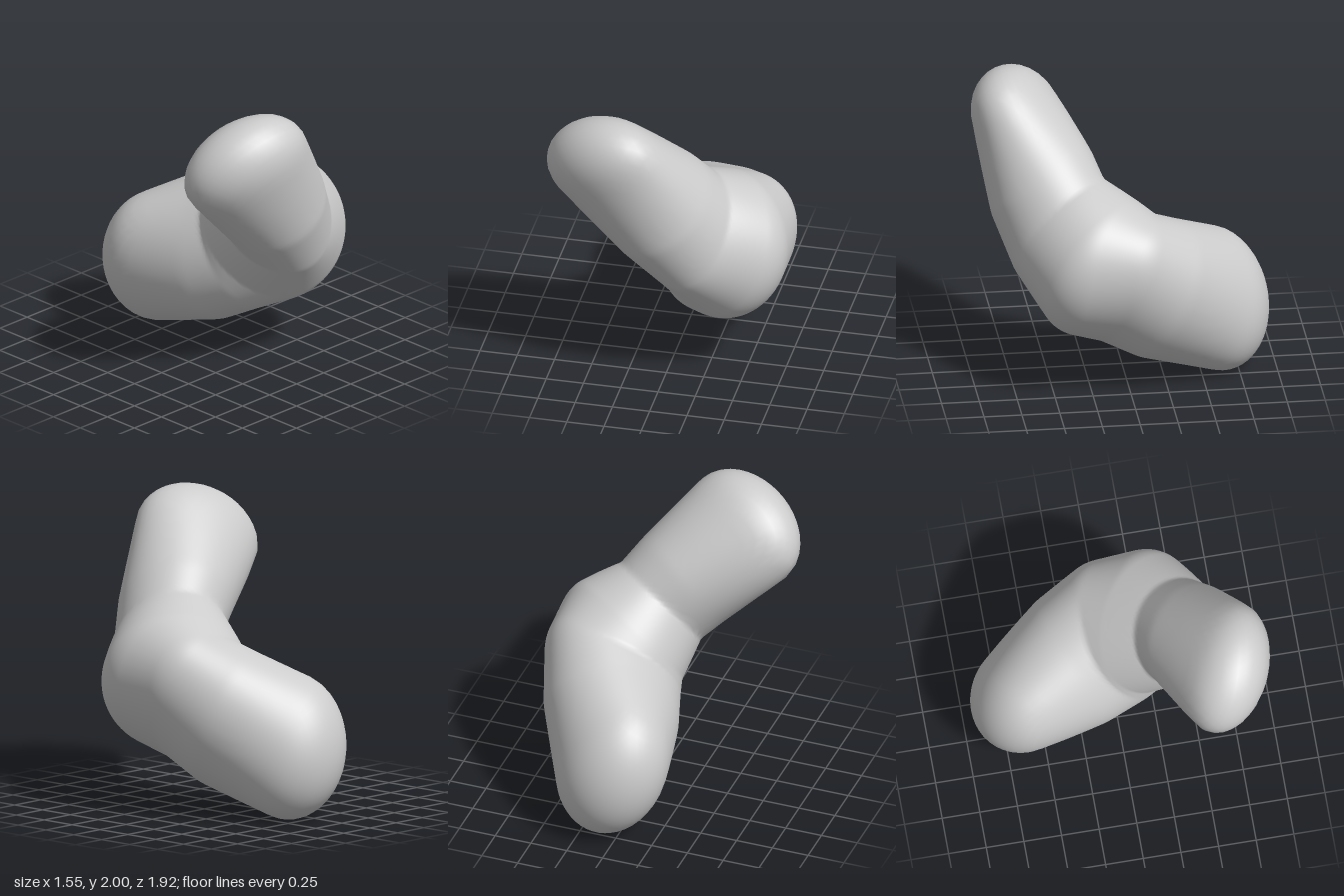
import * as THREE from 'three';
import { mergeVertices } from 'three/addons/utils/BufferGeometryUtils.js';

// Ellipsoid stations along the bent body:
// centre x y z, squared half widths x y z, tilt terms xy xz yz
const STATIONS = [
  [-0.37, 1.65, 0.65, 0.168, 0.122, 0.096, 0.021, 0.031, 0.025], // raised front end
  [-0.03, 1.28, 0.515, 0.15, 0.15, 0.128, 0, 0.007, -0.022], // upper lobe
  [0.16, 1.06, 0.42, 0.13, 0.16, 0.12, -0.01, 0, -0.035], // neck
  [0.32, 0.86, 0.2, 0.2025, 0.235, 0.17, 0.02, 0.045, -0.03], // elbow
  [0.31, 0.76, 0.02, 0.203, 0.235, 0.17, 0.055, 0, -0.015], // heel
  [0.23, 0.63, -0.22, 0.2, 0.24, 0.17, 0.025, 0, -0.013], // lower lobe
  [0.08, 0.475, -0.6, 0.144, 0.226, 0.13, -0.024, 0.005, 0.022], // low back end
];
const STEPS = 12;

// Point inside the elbow from which the whole skin can be reached in straight lines
const HEART = new THREE.Vector3(0.25, 0.85, 0.25);

// Ellipsoids swept from each station to the next
function sweptEllipsoids() {
  const swept = [];
  for (let s = 0; s < STATIONS.length - 1; s++) {
    for (let k = 0; k <= STEPS; k++) {
      const [x, y, z, xx, yy, zz, xy, xz, yz] = STATIONS[s].map(
        (v, i) => THREE.MathUtils.lerp(v, STATIONS[s + 1][i], k / STEPS),
      );
      const inverse = new THREE.Matrix3(xx, xy, xz, xy, yy, yz, xz, yz, zz).invert();
      const offset = HEART.clone().sub(new THREE.Vector3(x, y, z));
      const pulled = offset.clone().applyMatrix3(inverse);
      swept.push({ inverse, pulled, rest: offset.dot(pulled) - 1 });
    }
  }
  return swept;
}

// Distance from the heart to the outermost skin in one direction
function reach(direction, swept) {
  let far = 0;
  const d = new THREE.Vector3();
  for (const { inverse, pulled, rest } of swept) {
    const a = direction.dot(d.copy(direction).applyMatrix3(inverse));
    const b = direction.dot(pulled);
    const root = b * b - a * rest;
    if (root >= 0) far = Math.max(far, (Math.sqrt(root) - b) / a);
  }
  return far;
}

export function createModel() {
  const group = new THREE.Group();
  group.name = 'bentBean';

  // Push a fine ball out to the swept skin
  const ball = new THREE.IcosahedronGeometry(1, 28);
  ball.deleteAttribute('normal');
  ball.deleteAttribute('uv');
  const skin = mergeVertices(ball, 1e-4);
  const position = skin.getAttribute('position');
  const swept = sweptEllipsoids();
  const p = new THREE.Vector3();
  for (let i = 0; i < position.count; i++) {
    p.fromBufferAttribute(position, i).normalize();
    p.multiplyScalar(reach(p, swept)).add(HEART);
    position.setXYZ(i, p.x, p.y, p.z);
  }
  skin.computeVertexNormals();

  const body = new THREE.Mesh(skin, new THREE.MeshStandardMaterial({ color: 0xcccccc }));
  body.name = 'body';
  group.add(body);
  return group;
}
